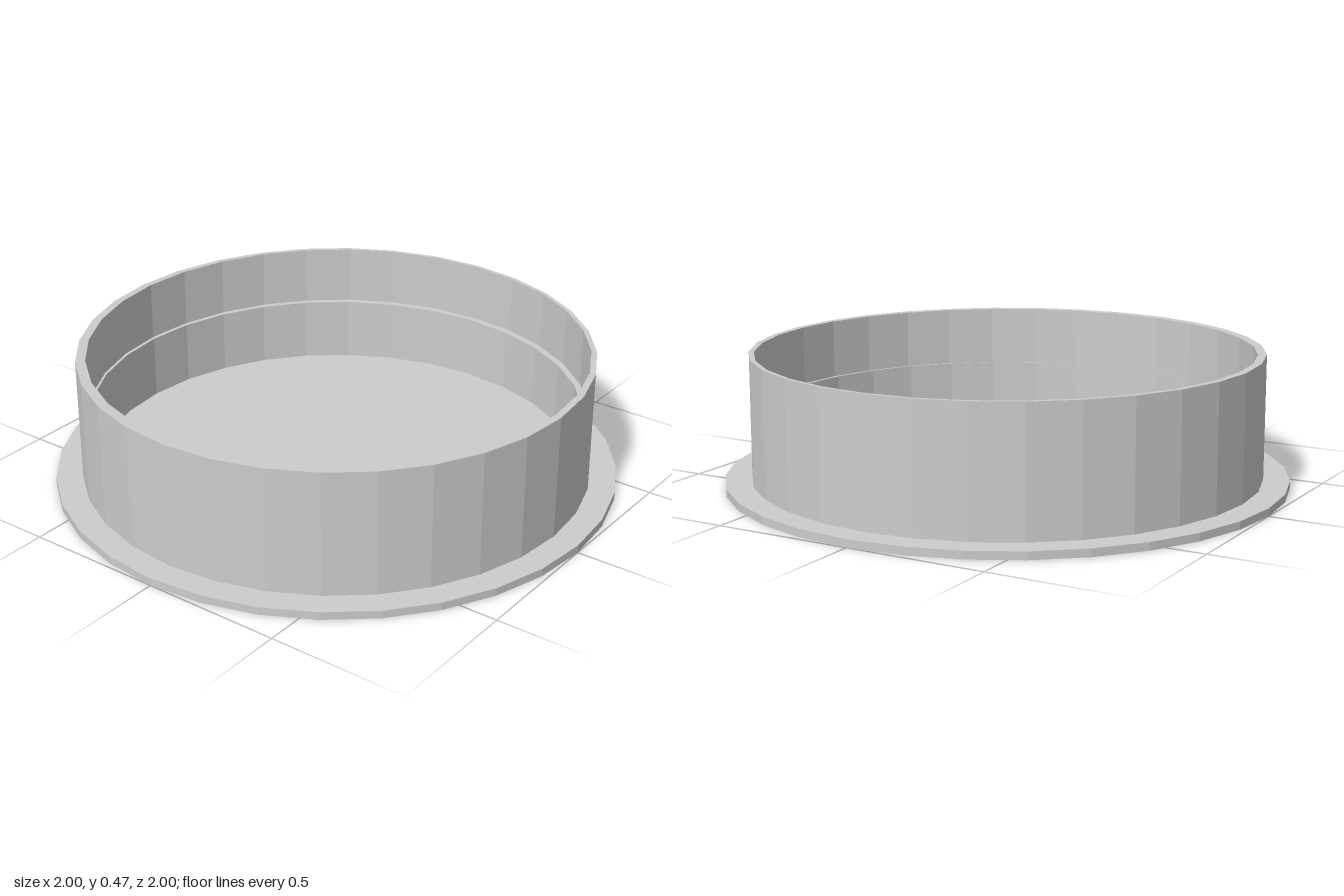
import * as THREE from 'three';

const SIDES = 32;

// Regular polygon with vertices on the axes
function ringPoints(radius, offset = 0) {
  return Array.from({ length: SIDES }, (_, i) => {
    const a = (i / SIDES) * Math.PI * 2;
    return new THREE.Vector2(radius * Math.cos(a), radius * Math.sin(a) + offset);
  });
}

// Upright wall with a bore that may be shifted towards the back
function wall(name, material, outer, bore, shift, bottom, top) {
  const shape = new THREE.Shape(ringPoints(outer));
  shape.holes.push(new THREE.Path(ringPoints(bore, shift)));
  const geometry = new THREE.ExtrudeGeometry(shape, { depth: top - bottom, bevelEnabled: false });
  geometry.rotateX(-Math.PI / 2);
  geometry.translate(0, bottom, 0);
  const mesh = new THREE.Mesh(geometry, material);
  mesh.name = name;
  return mesh;
}

export function createModel() {
  const group = new THREE.Group();
  group.name = 'flangedCap';

  const grey = new THREE.MeshStandardMaterial({ color: 0xcccccc, flatShading: true });
  grey.name = 'lightGrey';

  const floorY = 0.028, ledgeY = 0.26, rimY = 0.474;

  // Base disc: outer flange and inner floor
  const base = new THREE.Mesh(new THREE.CylinderGeometry(1, 1, floorY, SIDES), grey);
  base.name = 'baseFlange';
  base.position.y = floorY / 2;
  group.add(base);

  // Narrower lower bore leaves a ledge under the slightly offset upper bore
  group.add(wall('lowerWall', grey, 0.906, 0.866, 0, floorY, ledgeY));
  group.add(wall('upperWall', grey, 0.906, 0.88, 0.012, ledgeY, rimY));

  return group;
}
